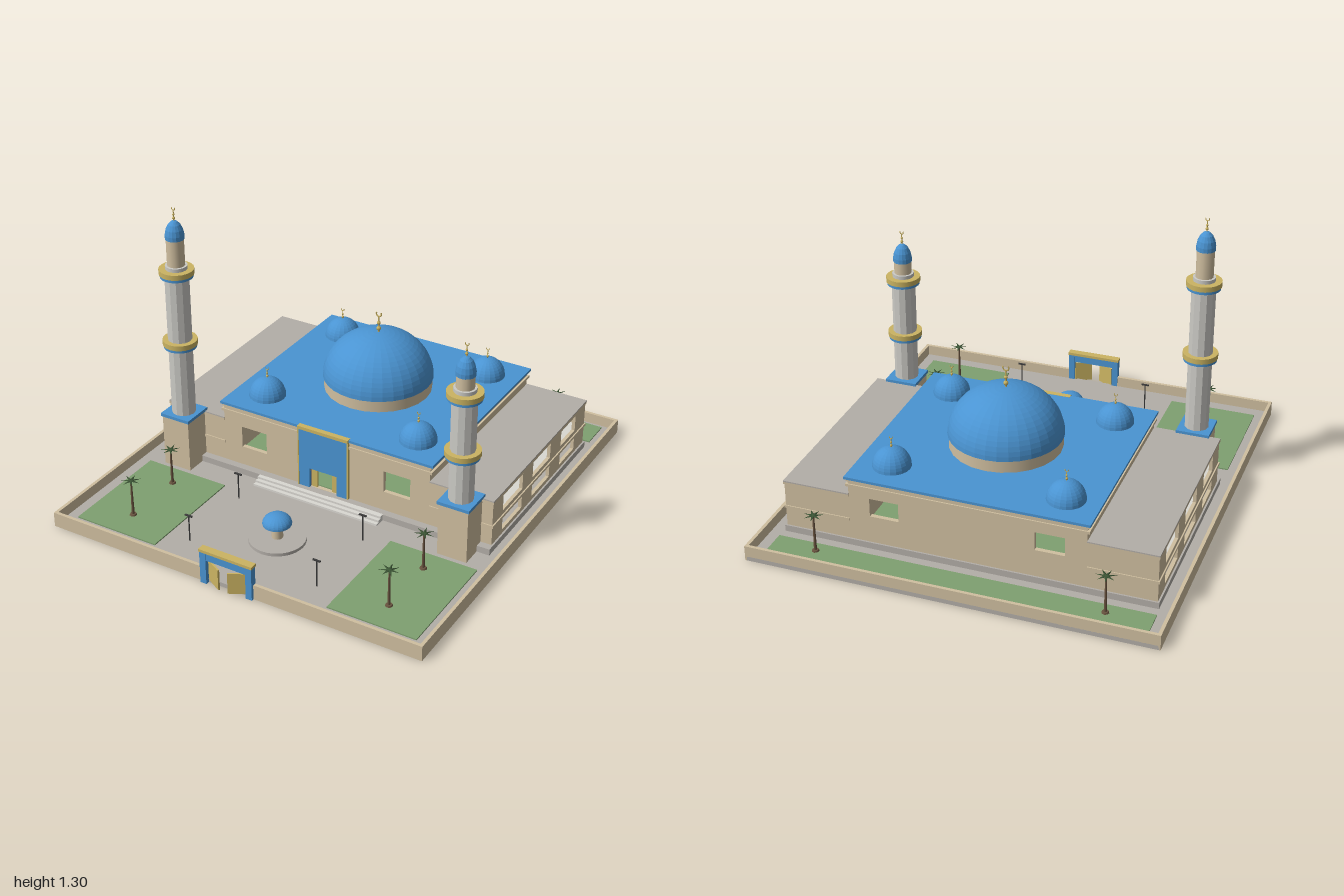
import * as THREE from 'three';

const mat = (name, color) => {
  const m = new THREE.MeshStandardMaterial({ color });
  m.name = name;
  return m;
};

export function createModel() {
  const root = new THREE.Group();
  root.name = 'mosque';
  const M = {
    stone: mat('sandstone', 0xd0bfa0), blue: mat('blue', 0x4a94d2), gold: mat('gold', 0xcbb462),
    paving: mat('paving grey', 0xb3aea8), shaft: mat('light grey', 0xcbcac5), pale: mat('pale stone', 0xdad8d2),
    lawn: mat('lawn green', 0x7fa070), palm: mat('palm green', 0x3f5a38), trunk: mat('trunk brown', 0x6a5440),
    dark: mat('dark metal', 0x3c3c3c),
  };

  // Helpers
  const add = (name, geo, m, x = 0, y = 0, z = 0, parent = root) => {
    const mesh = new THREE.Mesh(geo, m);
    mesh.name = name;
    mesh.position.set(x, y, z);
    parent.add(mesh);
    return mesh;
  };
  const box = (name, m, x0, x1, y0, y1, z0, z1, parent = root) =>
    add(name, new THREE.BoxGeometry(x1 - x0, y1 - y0, z1 - z0), m, (x0 + x1) / 2, (y0 + y1) / 2, (z0 + z1) / 2, parent);
  const drum = (name, m, r, y0, y1, x, z, sides = 16, parent = root) =>
    add(name, new THREE.CylinderGeometry(r, r, y1 - y0, sides), m, x, (y0 + y1) / 2, z, parent);
  const facet = (geo) => {
    const g = geo.toNonIndexed();
    g.computeVertexNormals();
    return g;
  };
  const dome = (name, r, h, x, y, z, seg = 24, parent = root) => {
    const g = new THREE.SphereGeometry(r, seg, seg / 2, 0, Math.PI * 2, 0, Math.PI / 2).scale(1, h / r, 1);
    return add(name, facet(g), M.blue, x, y, z, parent);
  };
  // Wall panel with rectangular holes given as [x0, x1, y0, y1]
  const wall = (name, w, y0, y1, t, holes, x, z, turn = 0) => {
    const s = new THREE.Shape([[-w / 2, y0], [w / 2, y0], [w / 2, y1], [-w / 2, y1]].map((p) => new THREE.Vector2(...p)));
    for (const [a, b, c, d] of holes) {
      s.holes.push(new THREE.Path([[a, c], [a, d], [b, d], [b, c]].map((p) => new THREE.Vector2(...p))));
    }
    const g = new THREE.ExtrudeGeometry(s, { depth: t, bevelEnabled: false }).translate(0, 0, -t / 2);
    add(name, g, M.stone, x, 0, z).rotation.y = turn;
  };
  // Gold spike with beads and an upturned crescent
  const finial = (x, y, z, h) => {
    const f = new THREE.Group();
    f.name = 'finial';
    f.position.set(x, y, z);
    add('finialRod', new THREE.CylinderGeometry(h * 0.03, h * 0.04, h * 0.8, 6), M.gold, 0, h * 0.38, 0, f);
    [[0.2, 0.1], [0.45, 0.08]].forEach(([b, r]) => add('finialBead', new THREE.SphereGeometry(h * r, 8, 6), M.gold, 0, h * b, 0, f));
    const arc = new THREE.TorusGeometry(h * 0.12, h * 0.03, 5, 14, Math.PI * 1.4).rotateZ(Math.PI * 0.8);
    add('crescent', arc, M.gold, 0, h * 0.86, 0, f);
    root.add(f);
  };

  // Ground, perimeter wall (open at the gate) and lawns
  box('ground', M.paving, -0.91, 0.91, 0, 0.02, -1, 0.98);
  box('backWall', M.stone, -0.912, 0.912, 0, 0.07, -1, -0.985);
  for (const s of [-1, 1]) {
    box('sideWall', M.stone, s * 0.905 - 0.0075, s * 0.905 + 0.0075, 0, 0.07, -1, 0.985);
    box('frontWall', M.stone, s < 0 ? -0.912 : 0.11, s < 0 ? -0.11 : 0.912, 0, 0.07, 0.97, 0.985);
    box('frontLawn', M.lawn, s < 0 ? -0.845 : 0.43, s < 0 ? -0.43 : 0.845, 0.02, 0.026, 0.37, 0.905);
  }
  box('backLawn', M.lawn, -0.845, 0.845, 0.02, 0.026, -0.965, -0.815);

  // Podium and front steps
  box('podium', M.paving, -0.84, 0.84, 0.02, 0.05, -0.768, 0.245);
  for (let i = 0; i < 3; i++) box('step', M.pale, -0.32, 0.32, 0.02, 0.05 - i * 0.01, 0.24, 0.265 + i * 0.0175);

  // Prayer hall: pierced walls, carpet, cornice and roof
  const pair = (a, b, c, d) => [[a, b, c, d], [-b, -a, c, d]];
  wall('hallFront', 1.06, 0.05, 0.345, 0.02, [...pair(0.303, 0.435, 0.145, 0.25), [-0.07, 0.07, 0.051, 0.15]], 0, 0.2);
  wall('hallBack', 1.06, 0.05, 0.345, 0.02, pair(0.303, 0.435, 0.178, 0.265), 0, -0.75);
  for (const s of [-1, 1]) wall('hallSide', 0.93, 0.05, 0.345, 0.02, [], s * 0.52, -0.275, Math.PI / 2);
  box('carpet', M.lawn, -0.51, 0.51, 0.05, 0.056, -0.74, 0.19);
  for (const z of [0.212, -0.762]) box('hallCornice', M.stone, -0.54, 0.54, 0.31, 0.322, z - 0.004, z + 0.004);
  for (const s of [-1, 1]) box('hallCornice', M.stone, s * 0.535 - 0.006, s * 0.535 + 0.006, 0.31, 0.322, -0.766, 0.216);
  box('roofEdge', M.stone, -0.538, 0.538, 0.335, 0.345, -0.765, 0.213);
  box('hallRoof', M.blue, -0.545, 0.545, 0.345, 0.357, -0.77, 0.217);

  // Side wings with two rows of windows
  const openings = [];
  for (const [a, b] of [[-0.11, 0.085], [0.19, 0.375], [0.49, 0.65]]) {
    for (const [c, d] of [[0.07, 0.13], [0.17, 0.247]]) openings.push([a - 0.275, b - 0.275, c, d]);
  }
  for (const s of [-1, 1]) {
    const span = (a, b) => (s < 0 ? [-b, -a] : [a, b]);
    wall('wingSide', 0.97, 0.05, 0.265, 0.016, s > 0 ? openings : openings.map(([a, b, c, d]) => [-b, -a, c, d]), s * 0.824, -0.275, Math.PI / 2);
    for (const z of [0.202, -0.752]) box('wingEnd', M.stone, ...span(0.53, 0.817), 0.05, 0.265, z - 0.008, z + 0.008);
    box('wingLining', M.pale, ...span(0.53, 0.536), 0.05, 0.262, -0.744, 0.194);
    box('wingFloor', M.pale, ...span(0.535, 0.818), 0.14, 0.148, -0.744, 0.194);
    box('wingCornice', M.stone, ...span(0.828, 0.838), 0.138, 0.15, -0.764, 0.214);
    for (const z of [0.212, -0.762]) box('wingCornice', M.stone, ...span(0.53, 0.838), 0.138, 0.15, z - 0.003, z + 0.003);
    box('wingEave', M.stone, ...span(0.53, 0.836), 0.258, 0.268, -0.765, 0.213);
    box('wingRoof', M.paving, ...span(0.53, 0.836), 0.268, 0.274, -0.765, 0.213);
  }

  // Entrance portal with open doors
  for (const s of [-1, 1]) {
    box('portalSide', M.blue, s * 0.0975 - 0.0275, s * 0.0975 + 0.0275, 0.05, 0.35, 0.2, 0.221);
    box('portalTrim', M.gold, s * 0.127 - 0.003, s * 0.127 + 0.003, 0.05, 0.35, 0.2, 0.223);
    box('portalDoor', M.gold, s * 0.053 - 0.015, s * 0.053 + 0.015, 0.05, 0.148, 0.196, 0.204);
  }
  box('portalPanel', M.blue, -0.07, 0.07, 0.15, 0.35, 0.2, 0.221);
  box('portalCap', M.gold, -0.13, 0.13, 0.343, 0.358, 0.2, 0.225);

  // Domes on the hall roof
  drum('domeDrum', M.stone, 0.25, 0.355, 0.415, 0, -0.275, 24);
  dome('mainDome', 0.255, 0.222, 0, 0.413, -0.275, 32);
  finial(0, 0.63, -0.275, 0.11);
  for (const x of [-0.39, 0.39]) for (const z of [-0.615, 0.06]) {
    dome('cornerDome', 0.085, 0.09, x, 0.357, z, 20);
    finial(x, 0.443, z, 0.06);
  }

  // Minarets: height of lower balcony, upper balcony and cap base
  const minaret = (x, low, high, cap) => {
    const z = 0.272;
    const g = new THREE.Group();
    g.name = 'minaret';
    root.add(g);
    box('pedestal', M.stone, x - 0.07, x + 0.07, 0.02, 0.275, z - 0.07, z + 0.07, g);
    box('pedestalCap', M.blue, x - 0.076, x + 0.076, 0.272, 0.287, z - 0.076, z + 0.076, g);
    add('shaft', facet(new THREE.CylinderGeometry(0.055, 0.055, high - 0.285, 12)), M.shaft, x, (high + 0.285) / 2, z, g);
    for (const y of [low, high]) {
      drum('balconyFloor', M.blue, 0.075, y, y + 0.014, x, z, 20, g);
      drum('balconyRail', M.gold, 0.079, y + 0.014, y + 0.038, x, z, 20, g);
    }
    drum('collar', M.shaft, 0.05, high + 0.038, high + 0.055, x, z, 16, g);
    drum('upperShaft', M.stone, 0.04, high + 0.03, cap, x, z, 12, g);
    const profile = [[0.043, 0], [0.043, 0.02], [0.038, 0.045], [0.027, 0.068], [0.014, 0.081], [0, 0.086]];
    add('minaretCap', facet(new THREE.LatheGeometry(profile.map((p) => new THREE.Vector2(...p)), 16)), M.blue, x, cap, z, g);
    finial(x, cap + 0.083, z, 0.068);
  };
  minaret(-0.71, 0.622, 0.97, 1.15);
  minaret(0.71, 0.49, 0.768, 0.88);

  // Entrance gate with doors swung inward
  for (const s of [-1, 1]) {
    box('gatePost', M.blue, s * 0.113 - 0.015, s * 0.113 + 0.015, 0, 0.155, 0.968, 0.998);
    const leaf = new THREE.BoxGeometry(0.085, 0.1, 0.008).translate(-s * 0.0425, 0, 0);
    add('gateDoor', leaf, M.gold, s * 0.096, 0.06, 0.975).rotation.y = -s * -0.5;
  }
  box('gateBeam', M.blue, -0.098, 0.098, 0.118, 0.155, 0.97, 0.996);
  box('gateCap', M.gold, -0.131, 0.131, 0.155, 0.168, 0.965, 1);

  // Fountain
  drum('fountainBasin', M.paving, 0.127, 0.02, 0.035, 0, 0.6, 32);
  drum('fountainColumn', M.stone, 0.025, 0.035, 0.108, 0, 0.6, 12);
  dome('fountainCanopy', 0.065, 0.045, 0, 0.106, 0.6, 20);
  drum('canopyBase', M.blue, 0.064, 0.102, 0.107, 0, 0.6, 20);

  // Palms with seven drooping fronds
  const frond = new THREE.ConeGeometry(0.008, 0.046, 4).rotateZ(-Math.PI / 2).scale(1, 0.4, 1).translate(0.023, 0, 0);
  for (const x of [-0.645, 0.645]) for (const z of [-0.87, 0.475, 0.77]) {
    const p = new THREE.Group();
    p.name = 'palm';
    p.position.set(x, 0.02, z);
    add('palmTrunk', new THREE.CylinderGeometry(0.004, 0.007, 0.18, 6), M.trunk, 0, 0.09, 0, p);
    add('palmFoot', new THREE.CylinderGeometry(0.014, 0.018, 0.01, 8), M.trunk, 0, 0.008, 0, p);
    for (let i = 0; i < 7; i++) add('frond', frond, M.palm, 0, 0.184, 0, p).rotation.y = (i * Math.PI * 2) / 7;
    root.add(p);
  }

  // Courtyard lamps
  for (const x of [-0.32, 0.32]) for (const z of [0.42, 0.8]) {
    drum('lampPost', M.dark, 0.003, 0.02, 0.15, x, z, 6);
    box('lampHead', M.dark, x - 0.018, x + 0.018, 0.147, 0.153, z - 0.004, z + 0.004);
  }
  return root;
}
